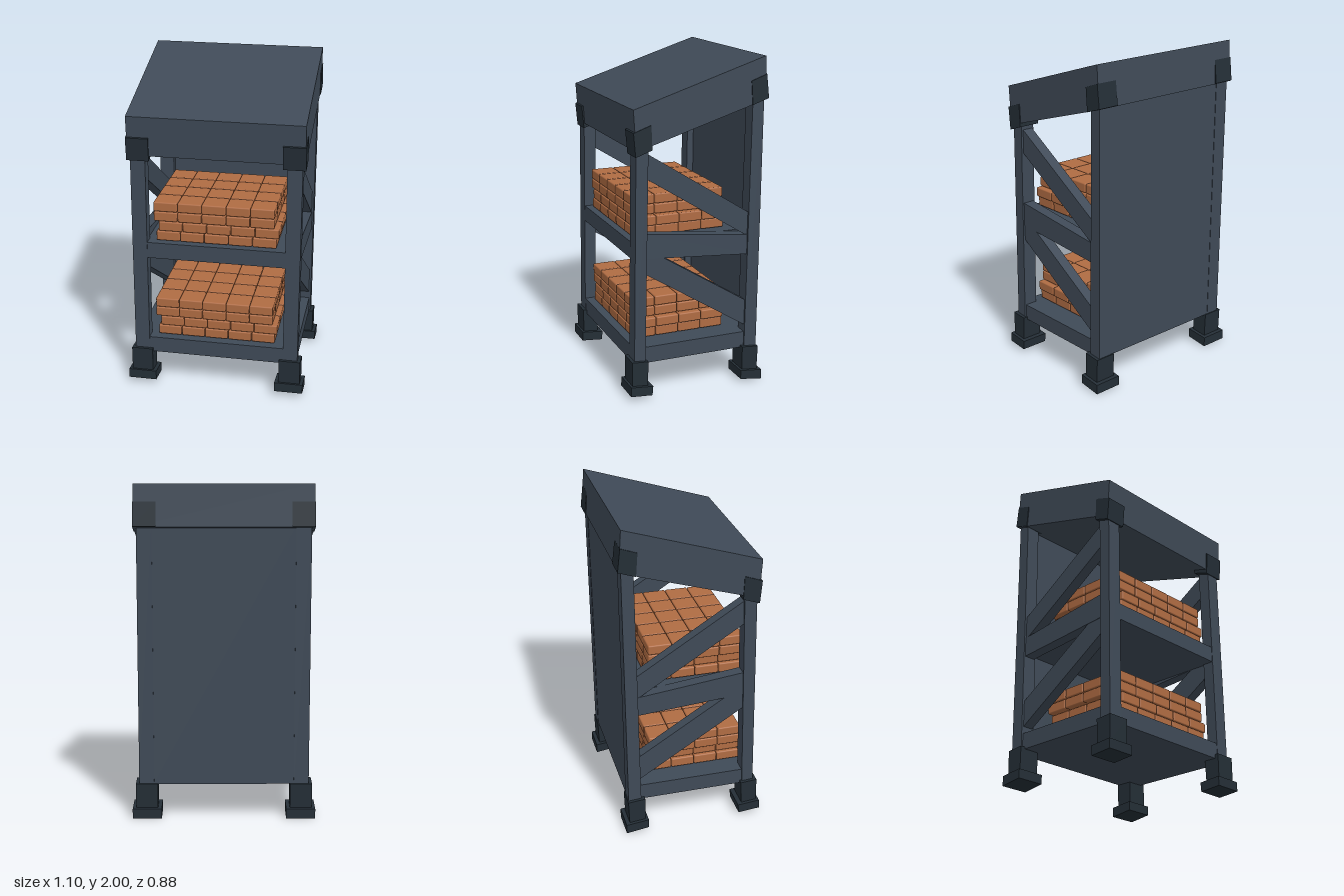
import * as THREE from 'three';
import { RoundedBoxGeometry } from 'three/addons/geometries/RoundedBoxGeometry.js';

const mat = (name, color) => {
  const m = new THREE.MeshStandardMaterial({ color });
  m.name = name;
  return m;
};

export function createModel() {
  const frame = mat('slate frame', 0x3f4a57);
  const dark = mat('dark fittings', 0x242e36);
  const clay = mat('brick clay', 0xb06c43);
  const model = new THREE.Group();
  model.name = 'brickRack';

  // Side profile of [z, y] corners, extruded from x0 to x1
  const prism = (name, material, x0, x1, profile) => {
    const shape = new THREE.Shape(profile.map(([z, y]) => new THREE.Vector2(-z, y)));
    const geo = new THREE.ExtrudeGeometry(shape, { depth: x1 - x0, bevelEnabled: false });
    geo.rotateY(Math.PI / 2).translate(x0, 0, 0);
    const mesh = new THREE.Mesh(geo, material);
    mesh.name = name;
    model.add(mesh);
  };
  // The same prism on the left and right sides
  const pair = (name, material, x0, x1, profile) => {
    prism(name + 'Left', material, x0, x1, profile);
    prism(name + 'Right', material, -x1, -x0, profile);
  };

  // Sloping roof
  prism('roof', frame, -0.525, 0.525, [[0.40, 1.74], [-0.415, 2.0], [-0.43, 1.75], [0.385, 1.5]]);

  // Leaning corner posts
  pair('frontPost', frame, 0.42, 0.51, [[0.40, 0.2], [0.33, 0.2], [0.305, 1.55], [0.38, 1.55]]);
  pair('backPost', frame, 0.42, 0.51, [[-0.32, 0.19], [-0.40, 0.19], [-0.417, 1.78], [-0.345, 1.78]]);

  // Back panel, floor and middle shelf
  prism('backPanel', frame, -0.425, 0.425, [[-0.37, 0.21], [-0.398, 0.21], [-0.414, 1.77], [-0.385, 1.77]]);
  prism('floor', frame, -0.5, 0.5, [[0.397, 0.21], [0.396, 0.31], [-0.39, 0.31], [-0.39, 0.21]]);
  prism('middleShelf', frame, -0.43, 0.43, [[0.388, 0.85], [0.386, 0.95], [-0.39, 0.95], [-0.39, 0.85]]);

  // Side bars and diagonal braces
  pair('sideBar', frame, 0.43, 0.5, [[0.34, 1.01], [0.34, 0.86], [-0.36, 0.808], [-0.36, 0.93]]);
  pair('upperBrace', frame, 0.43, 0.497, [[0.34, 1.50], [0.34, 1.35], [-0.37, 0.90], [-0.37, 1.05]]);
  pair('lowerBrace', frame, 0.43, 0.497, [[0.34, 0.935], [0.34, 0.775], [-0.37, 0.325], [-0.37, 0.488]]);

  // Roof corner brackets
  pair('frontBracket', dark, 0.395, 0.53, [[0.402, 1.61], [0.295, 1.648], [0.29, 1.505], [0.39, 1.47]]);
  pair('backBracket', dark, 0.395, 0.53, [[-0.325, 1.86], [-0.422, 1.895], [-0.438, 1.755], [-0.335, 1.72]]);

  // Feet: a sleeve on a tilted base
  pair('frontSleeve', dark, 0.398, 0.53, [[0.42, 0.08], [0.42, 0.236], [0.318, 0.228], [0.325, 0.07]]);
  pair('frontFoot', dark, 0.375, 0.55, [[0.437, 0.03], [0.435, 0.088], [0.297, 0.075], [0.302, 0.018]]);
  pair('backSleeve', dark, 0.398, 0.53, [[-0.30, 0.065], [-0.30, 0.222], [-0.406, 0.212], [-0.40, 0.055]]);
  pair('backFoot', dark, 0.375, 0.55, [[-0.283, 0.02], [-0.283, 0.076], [-0.424, 0.06], [-0.424, 0]]);

  // Two stacks of bricks: four layers of five by four
  const pitch = 0.147;
  const brick = new RoundedBoxGeometry(0.144, 0.06, 0.144, 2, 0.008);
  const shifts = [-0.005, 0.01, -0.02, -0.02];
  [['lowerBricks', 0.313], ['upperBricks', 0.953]].forEach(([name, base]) => {
    const stack = new THREE.Group();
    stack.name = name;
    shifts.forEach((dx, layer) => {
      for (let i = 0; i < 5; i++) for (let j = 0; j < 4; j++) {
        const mesh = new THREE.Mesh(brick, clay);
        mesh.name = 'brick';
        mesh.position.set((i - 2) * pitch + dx, base + 0.031 + layer * 0.0622, 0.277 - j * pitch);
        stack.add(mesh);
      }
    });
    model.add(stack);
  });

  return model;
}
